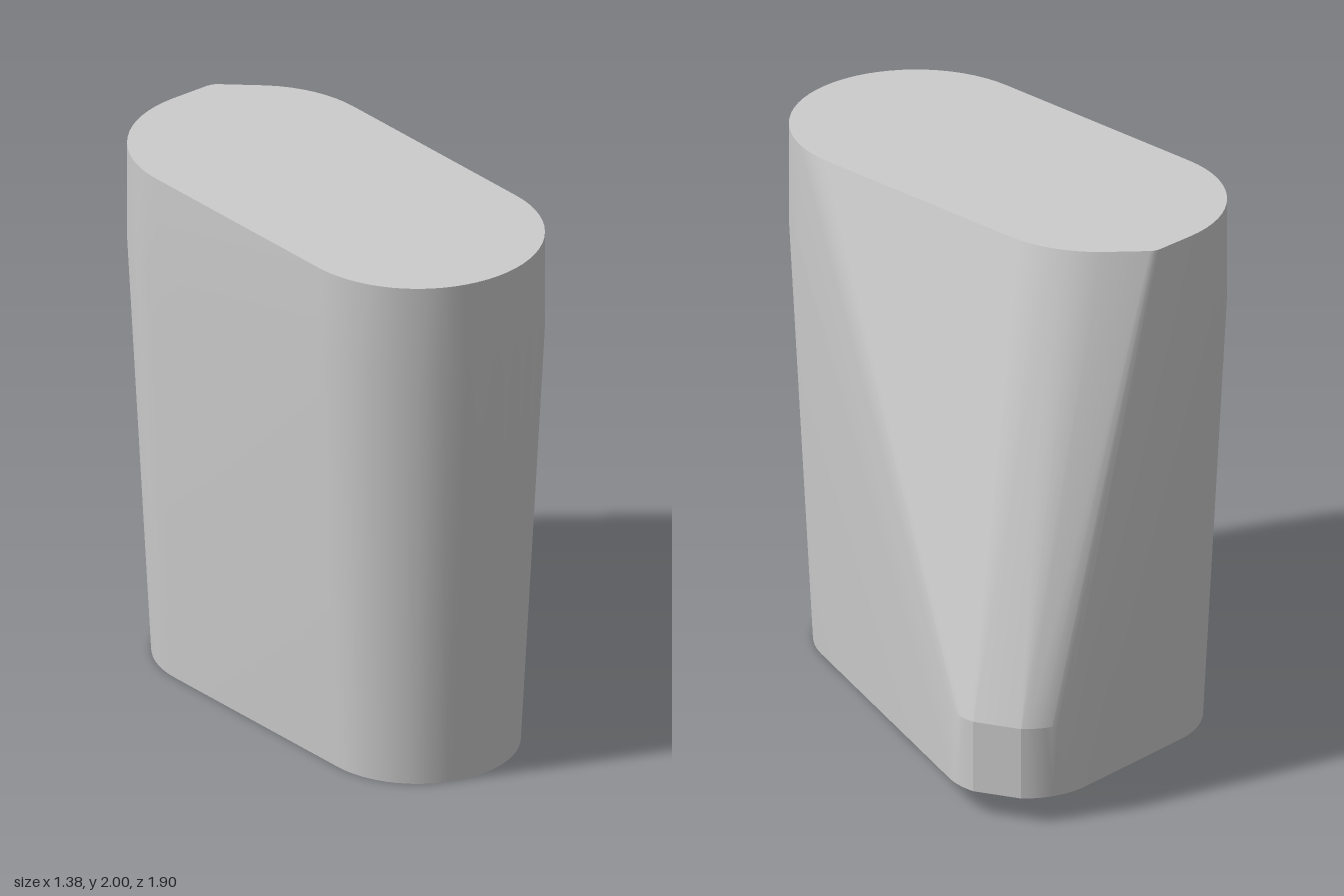
import * as THREE from 'three';
import { ConvexGeometry } from 'three/addons/geometries/ConvexGeometry.js';
import { toCreasedNormals } from 'three/addons/utils/BufferGeometryUtils.js';

const V = (x, y, z) => new THREE.Vector3(x, y, z);

// points along a horizontal arc, angles in degrees from +x towards +z
function arc(cx, cz, r, y, from, to, n) {
  return Array.from({ length: n + 1 }, (_, i) => {
    const a = THREE.MathUtils.degToRad(from + (to - from) * i / n);
    return V(cx + r * Math.cos(a), y, cz + r * Math.sin(a));
  });
}

// capsule-shaped outline of the main body
const capsule = (r, y) => [
  ...arc(-0.242, 0.5, r, y, 0, 180, 32),
  ...arc(-0.242, -0.41, r, y, 180, 360, 32),
];

// rounded toe with one flat chord across its outer corner
const toe = (y) => [
  ...arc(0.408, -0.67, 0.285, y, -6, 20, 5),
  ...arc(0.408, -0.67, 0.285, y, -97, -43, 12),
];

export function createModel() {
  const group = new THREE.Group();
  const points = [
    ...capsule(0.365, 0),
    ...capsule(0.45, 1.63),
    ...capsule(0.45, 2),
    ...toe(0.095),
    ...toe(0.365),
    // small rounded corner on the top rim
    ...arc(-0.09, -0.8, 0.06, 2, -90, -40, 5),
  ];
  // the body is the taut skin stretched over these outlines
  const body = new THREE.Mesh(
    toCreasedNormals(new ConvexGeometry(points), 0.2),
    new THREE.MeshStandardMaterial({ color: 0xcccccc })
  );
  body.name = 'body';
  group.add(body);
  return group;
}
